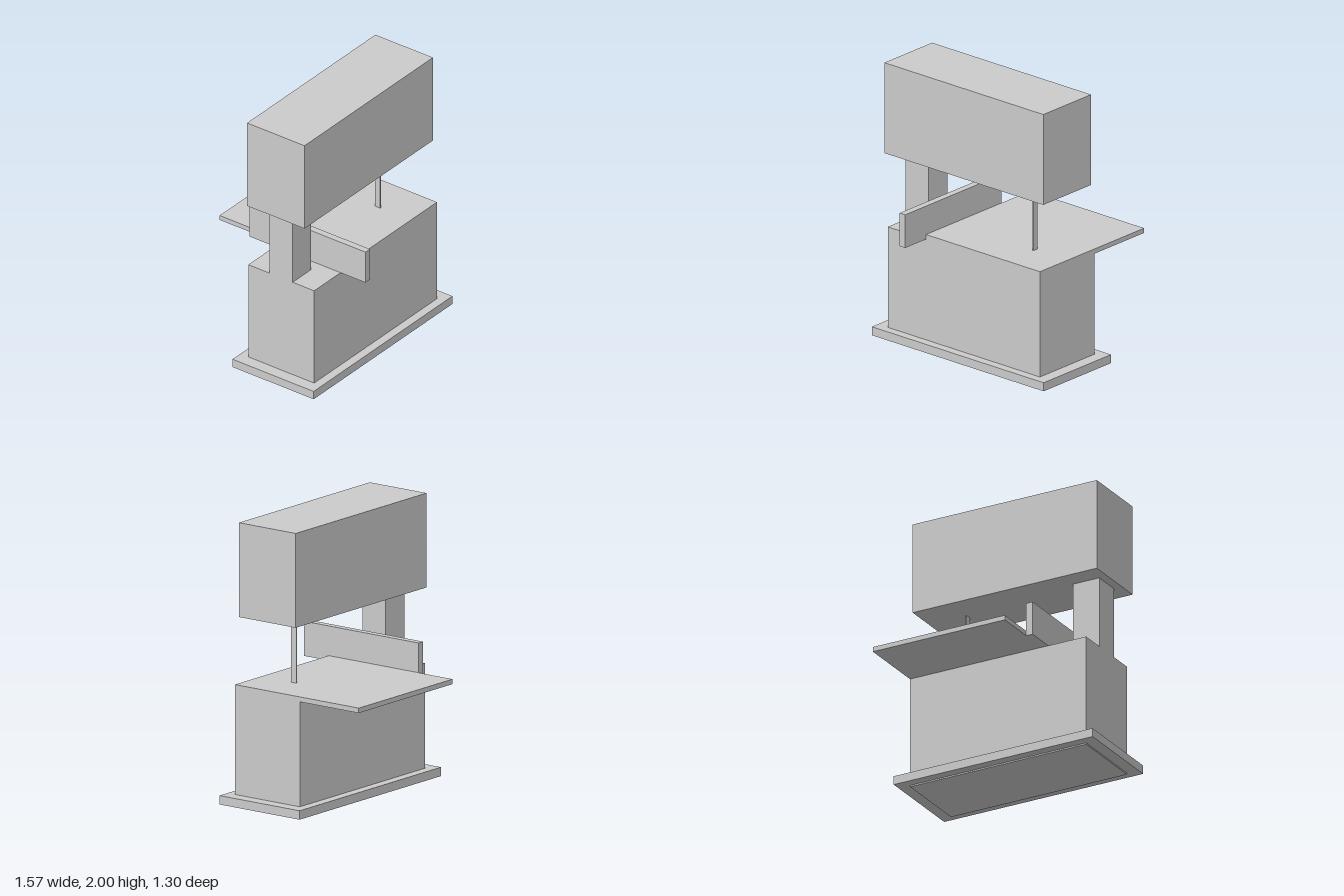
import * as THREE from 'three';

const material = new THREE.MeshStandardMaterial({ color: 0xcccccc });

// Box given by its [min, max] extent along each axis
function block(name, [x0, x1], [y0, y1], [z0, z1]) {
  const mesh = new THREE.Mesh(new THREE.BoxGeometry(x1 - x0, y1 - y0, z1 - z0), material);
  mesh.name = name;
  mesh.position.set((x0 + x1) / 2, (y0 + y1) / 2, (z0 + z1) / 2);
  return mesh;
}

export function createModel() {
  const saw = new THREE.Group();
  saw.name = 'bandSaw';

  const tableBottom = 0.815, tableTop = 0.85, headBottom = 1.333;
  const rightEnd = -0.697, leftEnd = 0.695;

  saw.add(
    // Stand
    block('basePlate', [-0.787, 0.785], [0.01, 0.073], [-0.203, 0.496]),
    block('cabinet', [rightEnd, leftEnd], [0, tableBottom], [-0.135, 0.432]),
    // Work surface, overhanging the back, with its fence
    block('table', [-0.348, leftEnd], [tableBottom, tableTop], [-0.648, 0.432]),
    block('fence', [-0.398, -0.348], [tableBottom, 1.06], [-0.352, 0.648]),
    // Upper frame and blade
    block('column', [rightEnd, -0.49], [tableBottom, headBottom], [0.047, 0.247]),
    block('wheelHousing', [-0.76, leftEnd], [headBottom, 2], [-0.098, 0.397]),
    block('blade', [0.396, 0.403], [tableTop, headBottom], [0.125, 0.17]),
  );
  return saw;
}
